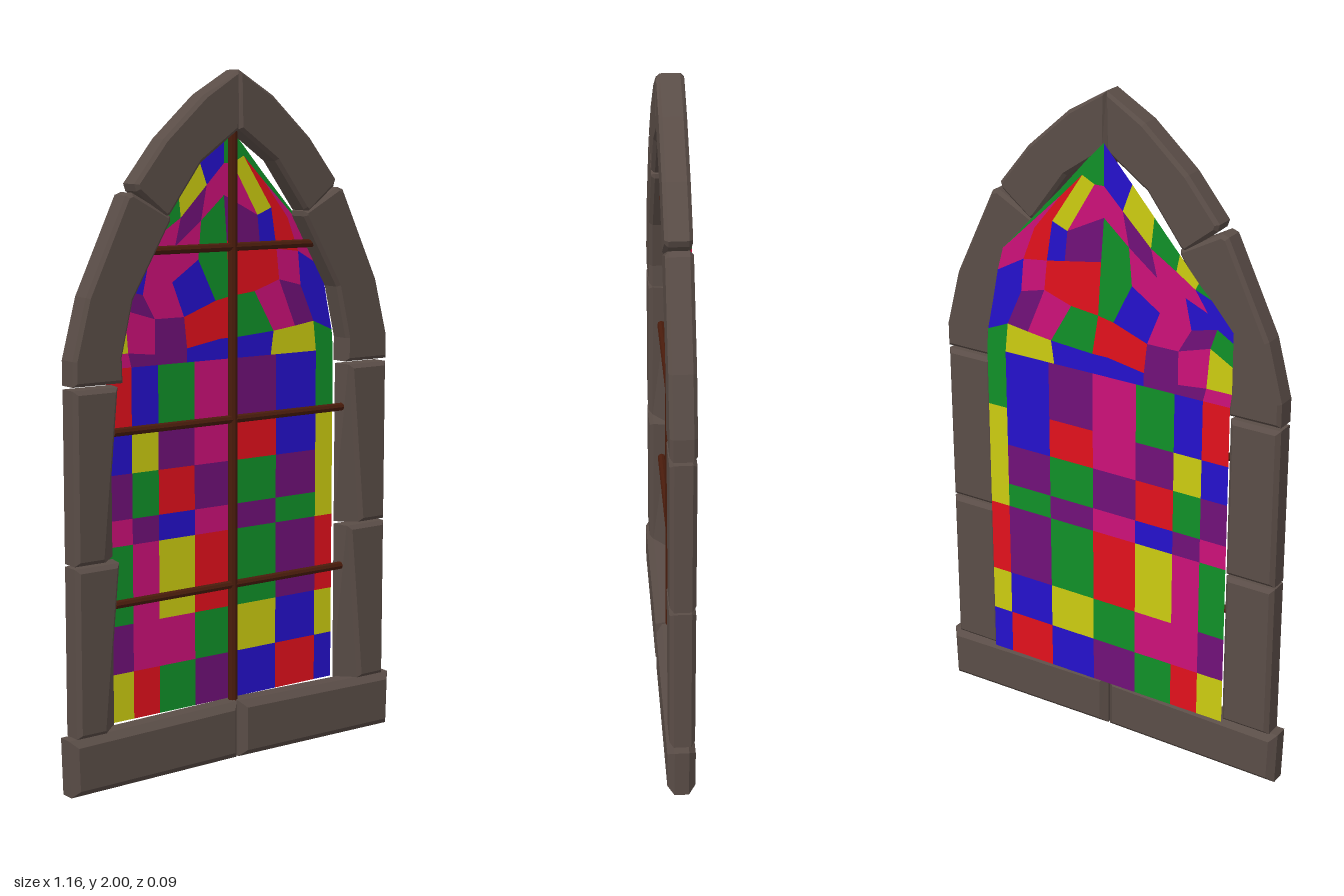
import * as THREE from 'three';
import { mergeGeometries } from 'three/addons/utils/BufferGeometryUtils.js';

const DEPTH = 0.074;
const GLASS_Z = -0.042;
const stoneMat = new THREE.MeshStandardMaterial({ color: 0x5a4d47, flatShading: true });
const barMat = new THREE.MeshStandardMaterial({ color: 0x4a1c0c, flatShading: true });
const GLASS = { r: 0xe2101c, b: 0x2410cc, g: 0x109028, y: 0xcccc10, p: 0x701078, m: 0xcc1078 };

// Chamfered stone block from a front outline; side mirrors it in x
function stone(name, pts, side, bevel = 0.01, depth = DEPTH, adjust) {
  const shape = new THREE.Shape(pts.map(([x, y]) => new THREE.Vector2(x * side, y)));
  const geo = new THREE.ExtrudeGeometry(shape, {
    depth: depth - 2 * bevel, bevelEnabled: true, bevelThickness: bevel,
    bevelSize: bevel, bevelOffset: -bevel, bevelSegments: 1,
  });
  geo.translate(0, 0, bevel - depth / 2);
  if (adjust) {
    const p = geo.attributes.position;
    for (let i = 0; i < p.count; i++) p.setX(i, adjust(p.getX(i), p.getY(i), p.getZ(i)));
  }
  geo.computeVertexNormals();
  const mesh = new THREE.Mesh(geo, stoneMat);
  mesh.name = name;
  return mesh;
}

function bar(name, from, to, radius) {
  const a = new THREE.Vector3(...from), b = new THREE.Vector3(...to);
  const mesh = new THREE.Mesh(new THREE.CylinderGeometry(radius, radius, a.distanceTo(b), 8), barMat);
  mesh.position.copy(a).add(b).multiplyScalar(0.5);
  mesh.quaternion.setFromUnitVectors(new THREE.Vector3(0, 1, 0), b.sub(a).normalize());
  mesh.name = name;
  return mesh;
}

// Flat glass panes between rows of points (in hundredths); colours holds one letter per pane
function addPanes(rows, colours, panes) {
  for (let r = 0; r < rows.length - 1; r++) {
    for (let c = 0; c < rows[r].length - 1; c++) {
      const [a, b, d, e] = [rows[r][c], rows[r][c + 1], rows[r + 1][c + 1], rows[r + 1][c]];
      const pos = [a, b, d, a, d, e].flatMap(([x, y]) => [x / 100, y / 100, GLASS_Z]);
      const geo = new THREE.BufferGeometry();
      geo.setAttribute('position', new THREE.Float32BufferAttribute(pos, 3));
      geo.setAttribute('normal', new THREE.Float32BufferAttribute(Array(6).fill([0, 0, 1]).flat(), 3));
      panes[colours[r][c]].push(geo);
    }
  }
}

function createGlass() {
  const panes = { r: [], b: [], g: [], y: [], p: [], m: [] };

  // Upright grid of the lower window
  const xs = [-40.5, -32, -23, -10.5, 4, 19, 34, 40.5];
  const ys = [16.5, 30.5, 44.5, 67.5, 75, 88, 100, 118];
  addPanes(ys.map(y => xs.map(x => [x, y])),
    ['yrgpbrb', 'pmmgyby', 'gmyrgpr', 'mpbmpgy', 'pgrpgpy', 'bypmrby', 'rbgmpbg'], panes);

  // Slanted panes in the left half of the arch
  addPanes([
    [[-40.5, 118], [-32, 118], [-23, 118], [-13, 118], [-3, 118], [4, 118]],
    [[-41, 122], [-33, 122], [-24, 121], [-13, 122], [-1, 124], [4, 124]],
    [[-41, 130], [-34, 134], [-24, 131], [-14, 131], [-3, 135], [2, 136]],
    [[-41, 137], [-36, 140], [-28, 138], [-18, 141], [-9, 147], [1, 152]],
    [[-41, 140], [-33, 144], [-26, 147], [-17, 151], [-8, 158], [0, 165]],
    [[-34, 148], [-29, 150], [-23, 154], [-15, 159], [-6, 168], [0, 174]],
    [[-34, 148], [-30, 152], [-24, 159], [-16, 168], [-9, 176], [0, 186]],
  ], ['mppbb', 'ymprr'.replace(' ', ''), 'gpmbg', 'bbmmg', 'bmmpm', 'gygyb'], panes);

  // Slanted panes in the right half of the arch
  addPanes([
    [[4, 118], [17, 118], [26, 118], [34, 118], [40.5, 118]],
    [[4, 124], [18, 125], [26, 126], [33, 127], [40, 124]],
    [[2, 136], [11, 137], [20, 140], [28, 138], [38, 133]],
    [[1, 152], [13, 150], [19, 149], [27, 148], [36, 143]],
    [[0, 165], [12, 159], [17, 161], [23, 158], [34, 150]],
    [[0, 174], [3, 174], [7, 176], [14, 169], [34, 150]],
    [[0, 186], [1, 185], [5, 181], [14, 171], [34, 150]],
  ], ['byyg', 'gmpb', 'rrmb', 'pbrm', 'myrm', 'gggg'], panes);

  const group = new THREE.Group();
  group.name = 'stainedGlass';
  for (const key of Object.keys(GLASS)) {
    const mat = new THREE.MeshStandardMaterial({ color: GLASS[key], side: THREE.DoubleSide });
    const mesh = new THREE.Mesh(mergeGeometries(panes[key]), mat);
    mesh.name = 'glassPanes_' + key;
    group.add(mesh);
  }
  return group;
}

export function createModel() {
  const model = new THREE.Group();
  model.name = 'archedWindow';

  const archTop = [[0, 2], [0.12, 1.93], [0.255, 1.81], [0.352, 1.69], [0.345, 1.67],
    [0.25, 1.595], [0.235, 1.605], [0.13, 1.745], [0, 1.835]];
  const archSide = [[0.555, 1.15], [0.555, 1.22], [0.51, 1.39], [0.38, 1.66], [0.36, 1.667],
    [0.235, 1.6], [0.235, 1.585], [0.36, 1.375], [0.397, 1.22], [0.395, 1.15]];
  const jamb = (y0, y1) => [[0.4, y0], [0.555, y0], [0.555, y1], [0.4, y1]];
  // Worn inner edge: the front face narrows towards the foot of each jamb stone
  const worn = (y0, y1) => (x, y, z) => (z > 0.02 && Math.abs(x) < 0.45
    ? x + Math.sign(x) * (0.01 + 0.045 * (1 - (y - y0) / (y1 - y0))) : x);

  for (const [side, label] of [[1, 'left'], [-1, 'right']]) {
    model.add(stone(label + 'ArchTop', archTop, side));
    model.add(stone(label + 'ArchSide', archSide, side));
    model.add(stone(label + 'UpperJamb', jamb(0.655, 1.14), side, 0.012, DEPTH, worn(0.655, 1.14)));
    model.add(stone(label + 'LowerJamb', jamb(0.165, 0.648), side, 0.012, DEPTH, worn(0.165, 0.648)));
    const sill = stone(label + 'Sill', [[0.003, 0.005], [0.575, 0], [0.58, 0.165], [0.003, 0.175]],
      side, 0.02, 0.082);
    sill.position.z = 0.003;
    model.add(sill);
  }

  // Iron glazing bars
  model.add(bar('verticalBar', [0, 0.16, 0], [0, 1.84, 0], 0.014));
  for (const [y, half] of [[0.522, 0.41], [1.01, 0.41], [1.505, 0.3]]) {
    model.add(bar('crossBar', [-half, y, 0], [half, y, 0], 0.012));
  }

  model.add(createGlass());
  return model;
}
